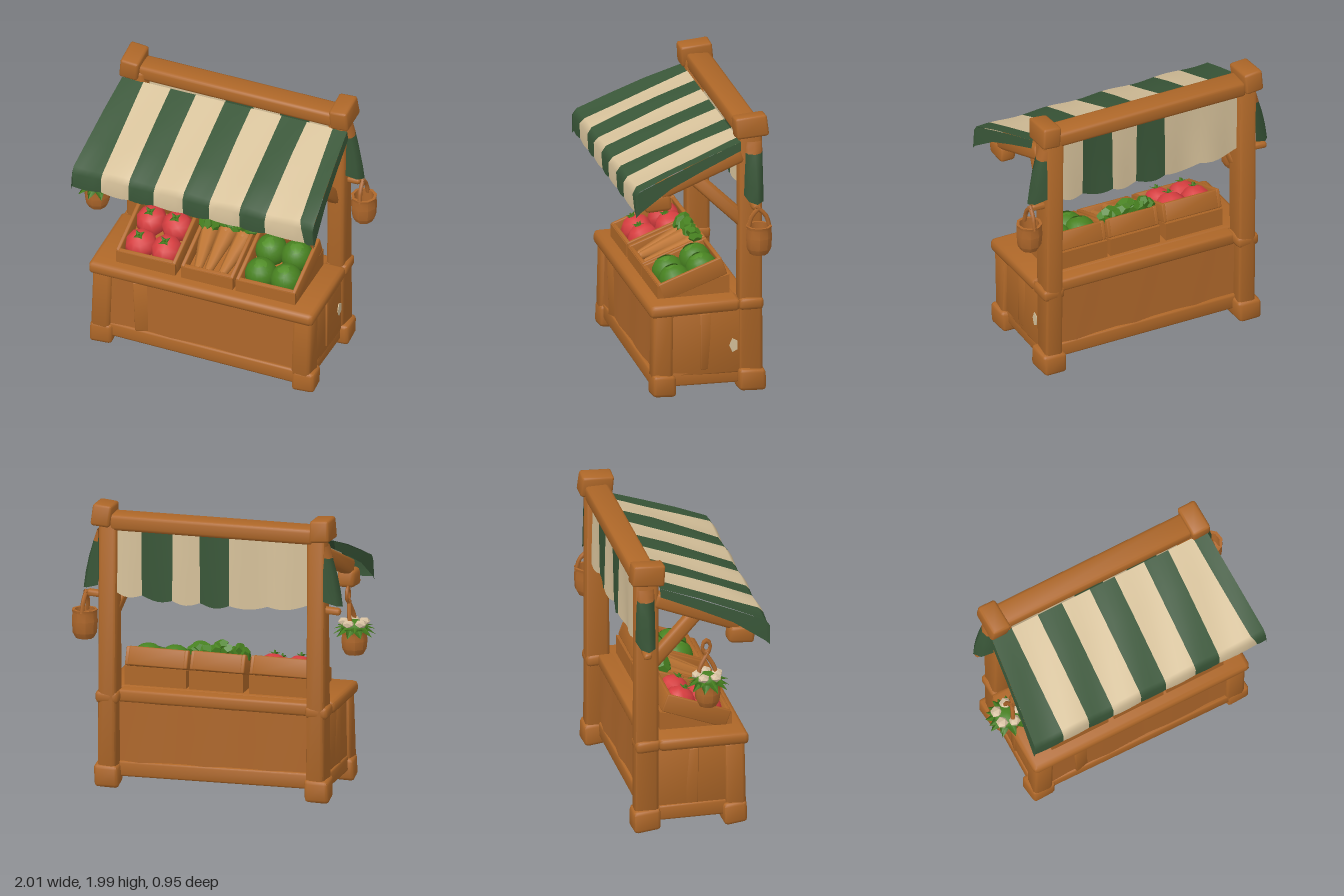
import * as THREE from 'three';
import { mergeVertices, toCreasedNormals } from 'three/addons/utils/BufferGeometryUtils.js';
import { RoundedBoxGeometry } from 'three/addons/geometries/RoundedBoxGeometry.js';

const mat = (name, color, side = THREE.FrontSide) => {
  const m = new THREE.MeshStandardMaterial({ color, side });
  m.name = name;
  return m;
};
const V = (x, y, z) => new THREE.Vector3(x, y, z);
const { lerp } = THREE.MathUtils;

export function createModel() {
  const wood = mat('wood', 0xae6728);
  const basketWood = mat('basket wood', 0xae672b, THREE.DoubleSide);
  const green = mat('awning green', 0x395638, THREE.DoubleSide);
  const cream = mat('awning cream', 0xd6c19a, THREE.DoubleSide);
  const red = mat('tomato red', 0xd63d3f);
  const leaf = mat('leaf green', 0x478120, THREE.DoubleSide);
  const cabbageGreen = mat('cabbage green', 0x528f28);
  const carrotOrange = mat('carrot orange', 0xbd7533);
  const petal = mat('petal cream', 0xd6c0a0);

  const model = new THREE.Group();
  model.name = 'marketStall';
  const add = (name, geo, material, parent = model) => {
    const m = new THREE.Mesh(geo, material);
    m.name = name;
    parent.add(m);
    return m;
  };
  const group = (name, parent = model) => {
    const g = new THREE.Group();
    g.name = name;
    parent.add(g);
    return g;
  };

  // Hand-hewn timber: a bevelled box with a slight wobble and soft shading
  const timber = (w, h, d, wob = 0.008, bevel = 0.025) => {
    let g = new RoundedBoxGeometry(w, h, d, 1, Math.min(bevel, w * 0.4, h * 0.4, d * 0.4));
    g.deleteAttribute('normal');
    g.deleteAttribute('uv');
    g = mergeVertices(g, 1e-4);
    const p = g.attributes.position;
    for (let i = 0; i < p.count; i++) {
      const x = p.getX(i), y = p.getY(i), z = p.getZ(i);
      p.setXYZ(i, x + wob * Math.sin(y * 9 + z * 17 + w * 40), y + wob * Math.sin(x * 8 + z * 13),
        z + wob * Math.sin(y * 11 + x * 7 + h * 30));
    }
    return toCreasedNormals(g, 0.9);
  };
  const block = (name, w, h, d, x, y, z, parent = model, wob, bevel) => {
    const m = add(name, timber(w, h, d, wob, bevel), wood, parent);
    m.position.set(x, y, z);
    return m;
  };
  const strut = (name, a, b, w, d) => {
    const dir = b.clone().sub(a);
    const m = add(name, timber(w, dir.length(), d, 0.004), wood);
    m.position.copy(a).add(b).multiplyScalar(0.5);
    m.quaternion.setFromUnitVectors(V(0, 1, 0), dir.normalize());
  };

  // Cloth sheet from a rule (u, v) -> point
  const sheet = (nu, nv, fn) => {
    const pos = [], idx = [];
    for (let j = 0; j <= nv; j++) for (let i = 0; i <= nu; i++) pos.push(...fn(i / nu, j / nv));
    for (let j = 0; j < nv; j++) for (let i = 0; i < nu; i++) {
      const a = j * (nu + 1) + i, b = a + nu + 1;
      idx.push(a, b, a + 1, a + 1, b, b + 1);
    }
    const g = new THREE.BufferGeometry();
    g.setAttribute('position', new THREE.Float32BufferAttribute(pos, 3));
    g.setIndex(idx);
    g.computeVertexNormals();
    return g;
  };

  // Counter base: gently warped boards, skirting and one loose slat
  block('counterBody', 1.54, 0.52, 0.63, 0, 0.32, -0.025, model, 0.003);
  block('frontSkirting', 1.4, 0.11, 0.04, 0, 0.115, 0.295);
  block('backSkirting', 1.4, 0.11, 0.04, 0, 0.115, -0.345);
  add('frontBoards', sheet(9, 1, (u, v) => [lerp(-0.68, 0.68, u), 0.59 - 0.46 * v,
    0.3 + 0.006 * Math.sin(u * 40 + v)]), basketWood);
  add('backBoards', sheet(9, 1, (u, v) => [lerp(0.68, -0.68, u), 0.59 - 0.46 * v,
    -0.35 + 0.008 * Math.sin(u * 37 + v)]), basketWood);
  block('looseSlat', 0.15, 0.4, 0.02, -0.42, 0.37, 0.294, model, 0.002, 0.005).rotation.set(0, 0.22, 0.05);
  block('counterTop', 1.65, 0.09, 0.63, 0, 0.622, 0.03, model, 0.005, 0.03);
  block('counterTopBack', 1.36, 0.09, 0.36, 0, 0.62, -0.185, model, 0.002, 0.02);

  [-1, 1].forEach((s) => {
    // Posts, feet and caps
    block('frontPost', 0.14, 0.52, 0.14, s * 0.735, 0.34, 0.255);
    block('frontFoot', 0.165, 0.155, 0.165, s * 0.742, 0.077, 0.255);
    block('rearPost', 0.13, 1.78, 0.165, s * 0.735, 0.97, -0.36);
    block('rearFoot', 0.17, 0.155, 0.19, s * 0.742, 0.077, -0.36);
    block('postCollar', 0.16, 0.085, 0.172, s * 0.74, 0.622, -0.36, model, 0.003);
    const cap = block('postCap', 0.135, 0.15, 0.225, s * 0.77, 1.895, -0.355, model, 0.004, 0.018);
    cap.rotation.set(0.1, 0, s * 0.08);
    // Side panel, loose slat and skirting
    block('sideSkirting', 0.04, 0.11, 0.48, s * 0.765, 0.115, -0.04);
    block('sidePanel', 0.03, 0.46, 0.5, s * 0.765, 0.36, -0.04, model, 0.002);
    block('sideSlat', 0.02, 0.4, 0.09, s * 0.774, 0.37, -0.05, model, 0.002, 0.005).rotation.y = s * 0.2;
    // Awning support
    strut('rafter', V(s * 0.76, 1.7, -0.3), V(s * 0.76, 1.465, 0.29), 0.1, 0.11);
    block('rafterEnd', 0.12, 0.12, 0.18, s * 0.76, 1.395, 0.295).rotation.x = 0.15;
    strut('brace', V(s * 0.72, 1.195, -0.33), V(s * 0.64, 1.54, 0.04), 0.09, 0.1);
    block('hangingPeg', 0.13, 0.045, 0.06, s * 0.83, 1.335, -0.385);
  });
  block('topBeam', 1.44, 0.11, 0.17, 0, 1.855, -0.365, model, 0.003);
  add('sidePatch', new THREE.CylinderGeometry(0.04, 0.04, 0.006, 5).rotateZ(Math.PI / 2).scale(1, 1.3, 0.8), cream)
    .position.set(0.785, 0.33, -0.24);

  // Awning: sloping striped cloth with a hanging front edge
  const awning = group('awning');
  const profile = [[-0.28, 1.8], [-0.02, 1.705], [0.22, 1.61], [0.44, 1.52], [0.47, 1.48], [0.465, 1.37]];
  const halfWidth = (j) => 0.825 + 0.058 * Math.min(1, j / 3);
  const cuts = [-1, -0.67, -0.47, -0.285, -0.072, 0.12, 0.345, 0.53, 0.72, 1];
  for (let k = 0; k < 9; k++) {
    const geo = sheet(4, 5, (u, v) => {
      const j = Math.round(v * 5);
      // The outer edges and the last seam splay outward toward the front
      const at = (i) => (i % 9 === 0 ? cuts[i] * halfWidth(j) : cuts[i] + (i === 8 ? 0.1 * v : 0));
      const x = lerp(at(k), at(k + 1), u);
      const fold = Math.sin(x * 14 + j) * 0.007;
      return [x, profile[j][1] + (j ? fold : 0) - (j === 5 ? 0.012 * Math.sin(u * Math.PI) : 0),
        profile[j][0] + (j > 3 ? fold * 0.5 : 0)];
    });
    add('awningStripe', geo, k % 2 ? cream : green, awning);
  }
  // Side hems of the awning
  const hemDrop = [0.06, 0.075, 0.09, 0.15, 0.14, 0.015];
  [-1, 1].forEach((s) => add('awningSideHem', sheet(2, 5, (u, v) => {
    const j = Math.round(v * 5), [z, y] = profile[j];
    return [s * (halfWidth(j) + 0.008 * u), y - hemDrop[j] * u, z];
  }), green, awning));

  // Rear curtain with a scalloped lower edge, and end pieces wrapped round the posts
  const curtain = group('rearCurtain');
  const rear = [-0.68, -0.39, -0.12, 0.09, 0.28, 0.5, 0.68];
  const rearMats = [cream, cream, green, cream, green, cream];
  for (let k = 0; k < 6; k++) {
    add('curtainStripe', sheet(6, 3, (u, v) => {
      const x = lerp(rear[k], rear[k + 1], u);
      const mid = 1 - (x / 0.68) ** 2;
      return [x, 1.82 - v * (0.455 + 0.045 * mid + 0.025 * Math.sin(u * Math.PI)), -0.4 + 0.012 * v * Math.sin(x * 17)];
    }), rearMats[k], curtain);
  }
  [-1, 1].forEach((s) => {
    const wrap = (v0, v1) => sheet(4, 3, (u, t) => {
      const v = lerp(v0, v1, t), a = Math.PI * (u - 0.5);
      return [s * (0.795 + Math.cos(a) * (0.02 + 0.16 * v - 0.06 * v * v)), 1.79 - v * (0.38 + 0.04 * Math.cos(a)),
        -0.375 - Math.sin(a) * (0.06 + 0.01 * v)];
    });
    add('curtainShoulder', wrap(0, 0.2), basketWood, curtain);
    add('curtainEnd', wrap(0.2, 1), green, curtain);
  });

  // Sloping display crates; contents sit in each tray's own tilted frame
  const crate = (x, w) => {
    const wedge = new THREE.Shape([[0.262, 0.65], [0.262, 0.755], [0.235, 0.755], [0.21, 0.69], [-0.24, 0.8], [-0.24, 0.65]]
      .map((p) => new THREE.Vector2(...p)));
    const base = add('crateBase', new THREE.ExtrudeGeometry(wedge, { depth: w - 0.005, bevelEnabled: false }), wood);
    base.rotation.y = -Math.PI / 2;
    base.position.x = x + w / 2 - 0.0025;
    const tray = group('crate');
    tray.position.set(x, 0.843, 0.04);
    tray.rotation.x = 0.36;
    block('crateFloor', w - 0.02, 0.02, 0.45, 0, -0.12, 0, tray, 0, 0.005);
    [-1, 1].forEach((s) => {
      block('crateSide', 0.028, 0.13, 0.47, s * (w / 2 - 0.014), -0.065, 0, tray, 0.002, 0.008);
      block('crateEnd', w - 0.04, 0.13, 0.028, 0, -0.065, s * 0.221, tray, 0.002, 0.008);
    });
    return tray;
  };
  const leafGeo = new THREE.ConeGeometry(0.055, 0.12, 4).translate(0, 0.06, 0).scale(1, 1, 0.25);
  const leafRing = (parent, n, r, tilt, size, x, y, z) => {
    for (let i = 0; i < n; i++) {
      const spoke = group('leaf', parent);
      spoke.position.set(x, y, z);
      spoke.rotation.y = (i / n) * Math.PI * 2 + n;
      const l = add('leafBlade', leafGeo, leaf, spoke);
      l.position.z = r;
      l.rotation.x = tilt;
      l.scale.setScalar(size);
    }
  };

  const tomatoes = crate(-0.43, 0.44);
  const cabbages = crate(0.45, 0.44);
  [[-1, -1], [1, -1], [-1, 1], [1, 1]].forEach(([i, k], n) => {
    const t = add('tomato', new THREE.SphereGeometry(0.112, 9, 6), red, tomatoes);
    t.position.set(i * 0.094, -0.066, k * 0.1);
    t.scale.set(0.98, 0.9, 1.02);
    t.rotation.set(0.15, n, 0.1);
    leafRing(tomatoes, 4, 0.004, 1.3, 0.36, i * 0.094, 0.034, k * 0.1);
    const stem = add('tomatoStem', new THREE.CylinderGeometry(0.006, 0.01, 0.03, 5), leaf, tomatoes);
    stem.position.set(i * 0.094, 0.044, k * 0.1);
    // Cabbage: a round heart wrapped in offset outer leaves
    const c = group('cabbage', cabbages);
    c.position.set(i * 0.094, -0.066, k * 0.1);
    c.rotation.y = n * 1.3;
    add('cabbageHeart', new THREE.SphereGeometry(0.105, 9, 6), cabbageGreen, c);
    for (let j = 0; j < 3; j++) {
      const o = add('cabbageLeaf', new THREE.SphereGeometry(0.112, 6, 5, 0, Math.PI * 0.75, 0.35, 1.7), leaf, c);
      o.rotation.set(0.12, j * 2.1, 0.1);
    }
  });

  // Plump carrots pointing forward with leafy tops against the back
  const carrots = crate(0.02, 0.385);
  [[-0.108, -0.05, 0.12], [0, -0.03, -0.04], [0.108, -0.05, -0.12]].forEach(([x, y, turn], i) => {
    const c = group('carrot', carrots);
    c.position.set(x, y, 0.025);
    c.rotation.y = turn;
    const root = add('carrotRoot', new THREE.CylinderGeometry(0.03, 0.068, 0.33, 7, 2), carrotOrange, c);
    root.rotation.x = Math.PI / 2;
    add('carrotTip', new THREE.SphereGeometry(0.03, 7, 4), carrotOrange, c).position.z = 0.165;
    add('carrotShoulder', new THREE.SphereGeometry(0.067, 7, 5), carrotOrange, c).position.z = -0.155;
    for (let j = -1; j <= 1; j++) {
      const l = add('carrotTop', new THREE.DodecahedronGeometry(0.046, 0), leaf, c);
      l.position.set(j * 0.036, 0.055 + (j === 0 ? 0.025 : 0), -0.185 - 0.01 * i);
      l.scale.set(0.9, 1.1, 1.6);
      l.rotation.set(0.5, i, j * 0.4);
    }
  });

  // Hanging pots; straps rise to a shared point that may lean sideways
  const pot = (name, x, y, z, h, top, lean) => {
    const g = group(name);
    g.position.set(x, y, z);
    const pts = [[0, 0], [0.062, 0], [0.084, 0.04], [0.09, h * 0.6], [0.086, h - 0.02], [0.09, h], [0.07, h], [0.066, 0.06], [0, 0.05]];
    add('potBody', toCreasedNormals(new THREE.LatheGeometry(pts.map((p) => new THREE.Vector2(...p)), 9), 0.7), basketWood, g);
    [-1, 1].forEach((s) => {
      const path = new THREE.CatmullRomCurve3([V(0, h - 0.02, s * 0.075), V(lean * 0.5, (h + top) / 2, s * 0.05),
        V(lean, top, -s * 0.012)]);
      add('potStrap', new THREE.TubeGeometry(path, 6, 0.016, 5), basketWood, g);
    });
    return g;
  };
  pot('emptyPot', 0.905, 1.02, -0.385, 0.2, 0.33, -0.01);
  const flowers = pot('flowerPot', -0.875, 0.93, 0.04, 0.16, 0.37, 0.04);
  const loop = add('hangingLoop', new THREE.TorusGeometry(0.028, 0.013, 5, 8).scale(1, 1.6, 1), basketWood, flowers);
  loop.position.set(0.045, 0.41, 0);
  loop.rotation.y = Math.PI / 2;
  leafRing(flowers, 10, 0.055, 2.1, 0.9, 0, 0.19, 0);
  leafRing(flowers, 9, 0.045, 1.8, 0.85, 0, 0.205, 0);
  add('foliage', new THREE.IcosahedronGeometry(0.095, 1).scale(1, 0.5, 1), leaf, flowers).position.y = 0.19;
  for (let i = 0; i < 5; i++) {
    const f = add('flower', new THREE.IcosahedronGeometry(0.043, 0), petal, flowers);
    f.position.set(Math.cos(i * 1.257) * 0.072, 0.22, Math.sin(i * 1.257) * 0.072);
    f.scale.y = 0.7;
  }
  return model;
}
